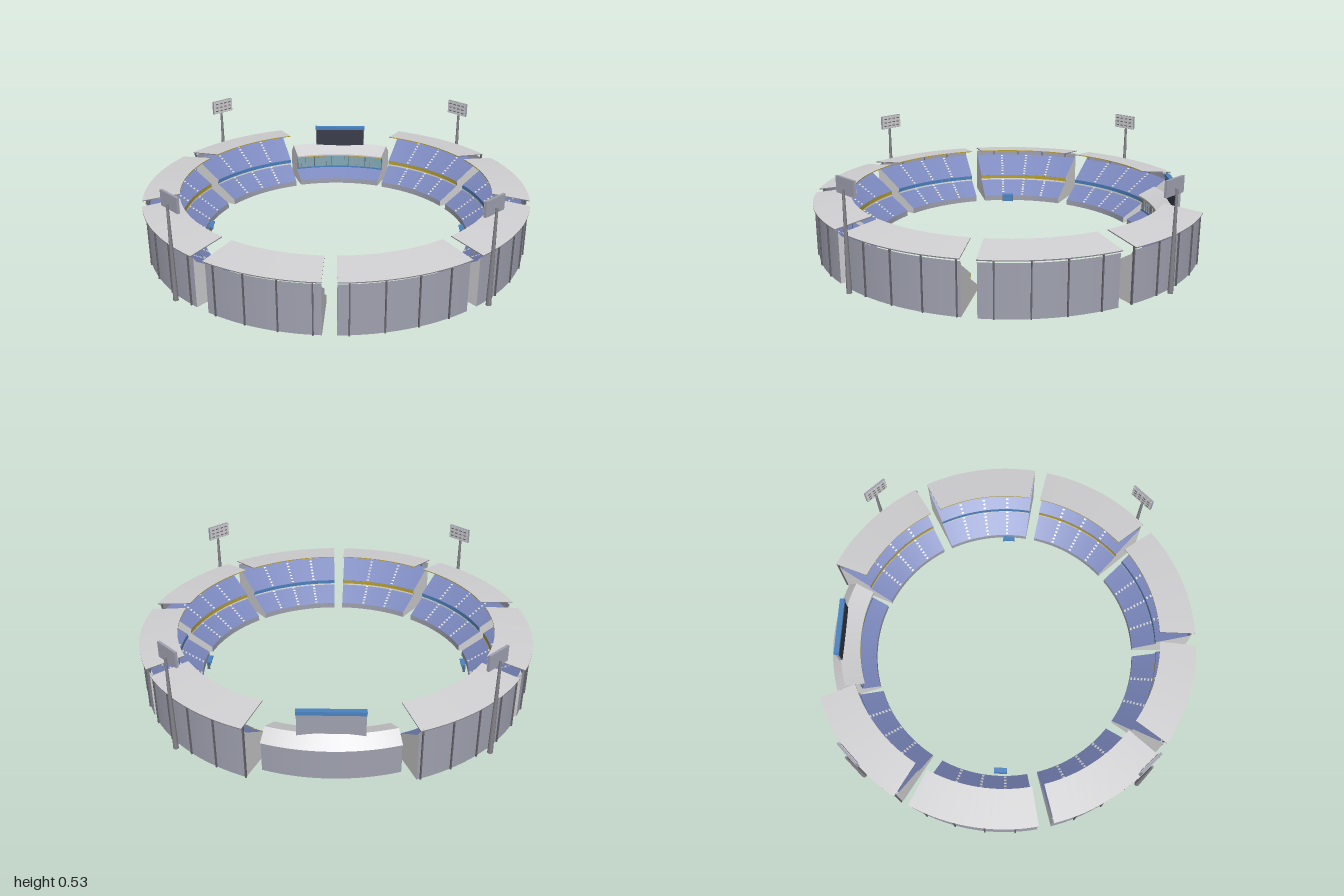
import * as THREE from 'three';

const mat = (name, color) => new THREE.MeshStandardMaterial({ name, color, side: THREE.DoubleSide });
const M = {
  wall: mat('lilac grey wall', 0x9fa1af),
  seat: mat('seat blue', 0x7a87bc),
  pale: mat('pale grey', 0xd0d0d2),
  under: mat('roof underside grey', 0x86858c),
  steel: mat('steel grey', 0x66656c),
  blue: mat('bright blue', 0x4a82c0),
  yellow: mat('mustard yellow', 0xb9a02c),
  white: mat('off white', 0xe2e2de),
  glass: mat('window teal', 0x7fa9b8),
  screen: mat('screen slate', 0x383c48),
};
const rad = THREE.MathUtils.degToRad;

function add(parent, name, geometry, material, x = 0, y = 0, z = 0) {
  const mesh = new THREE.Mesh(geometry, material);
  mesh.name = name;
  mesh.position.set(x, y, z);
  parent.add(mesh);
  return mesh;
}

// Curved strip between two [radius, height] points; angles in degrees from the front
function strip(parent, name, p, q, a0, a1, material) {
  const pts = [p, q].map(([r, y]) => new THREE.Vector2(r, y));
  return add(parent, name, new THREE.LatheGeometry(pts, 16, rad(a0), rad(a1 - a0)), material);
}

// Flat radial panel with a [radius, height] outline
function endPanel(parent, name, outline, a, material) {
  const shape = new THREE.Shape(outline.map(([r, y]) => new THREE.Vector2(r, y)));
  add(parent, name, new THREE.ShapeGeometry(shape), material).rotation.y = rad(a) - Math.PI / 2;
}

// Group whose local +z points outward at angle a
function spoke(parent, name, a) {
  const g = new THREE.Group();
  g.name = name;
  g.rotation.y = rad(a);
  parent.add(g);
  return g;
}

// Dashed line of steps running up a seating slope
function aisle(parent, a, p, q, count) {
  const g = spoke(parent, 'aisle', a);
  const slope = Math.atan2(q[1] - p[1], q[0] - p[0]);
  for (let i = 0; i < count; i++) {
    const t = (i + 0.5) / count;
    add(g, 'step', new THREE.BoxGeometry(0.013, 0.004, 0.009), M.white,
      0, p[1] + (q[1] - p[1]) * t, p[0] + (q[0] - p[0]) * t).rotation.x = -slope;
  }
}

// Wall posts, set on one regular spacing around the whole ring
function posts(parent, a0, a1, r, h) {
  for (let a = 5; a < 360; a += 9) {
    if (a < a0 || a > a1) continue;
    const g = spoke(parent, 'wallPost', a);
    add(g, 'post', new THREE.BoxGeometry(0.006, h, 0.01), M.steel, 0, h / 2, r);
  }
}

// Roofed two-tier stand
function stand(parent, a0, a1, bandMaterial, aisles) {
  const g = new THREE.Group();
  g.name = 'stand';
  parent.add(g);
  const low = [[0.702, 0.03], [0.822, 0.105]], high = [[0.817, 0.13], [0.968, 0.226]];
  strip(g, 'frontWall', [0.702, 0], low[0], a0, a1, M.wall);
  strip(g, 'lowerSeats', low[0], low[1], a0, a1, M.seat);
  strip(g, 'tierBand', [0.815, 0.11], [0.815, 0.13], a0, a1, bandMaterial);
  strip(g, 'bandRail', [0.815, 0.101], [0.815, 0.11], a0, a1, M.white);
  strip(g, 'bandBacking', low[1], [0.82, 0.132], a0, a1, M.seat);
  strip(g, 'upperSeats', high[0], high[1], a0, a1, M.seat);
  strip(g, 'outerWall', [0.985, 0], [0.985, 0.25], a0, a1, M.wall);
  posts(g, a0, a1, 0.987, 0.268);

  // Thin sloping roof with a gilt inner lip
  const roof = [[0.81, 0.291], [1, 0.267], [1, 0.262], [0.81, 0.286]];
  strip(g, 'roofTop', roof[0], roof[1], a0, a1, M.pale);
  strip(g, 'roofOuterEdge', roof[1], roof[2], a0, a1, M.under);
  strip(g, 'roofUnderside', roof[2], roof[3], a0, a1, M.under);
  strip(g, 'roofInnerEdge', roof[3], roof[0], a0, a1, M.yellow);

  const profile = [[0.702, 0], ...low, ...high, [0.985, 0.25], [0.985, 0]];
  for (const a of [a0, a1]) {
    endPanel(g, 'endWall', profile, a, M.pale);
    endPanel(g, 'roofEnd', roof, a, M.under);
  }
  for (let i = 1; i <= aisles; i++) {
    const a = a0 + (a1 - a0) * i / (aisles + 1);
    aisle(g, a, low[0], low[1], 7);
    aisle(g, a, high[0], high[1], 8);
  }
}

// Lower stand with a glazed gallery and the scoreboard
function galleryStand(parent, a0, a1) {
  const g = new THREE.Group();
  g.name = 'galleryStand';
  parent.add(g);
  strip(g, 'frontWall', [0.708, 0], [0.708, 0.03], a0, a1, M.wall);
  strip(g, 'seats', [0.708, 0.03], [0.8, 0.076], a0, a1, M.seat);
  strip(g, 'galleryBand', [0.792, 0.073], [0.792, 0.082], a0, a1, M.blue);
  strip(g, 'windows', [0.8, 0.076], [0.8, 0.17], a0, a1, M.glass);
  strip(g, 'roofEdge', [0.773, 0.157], [0.773, 0.165], a0, a1, M.pale);
  strip(g, 'roofLip', [0.773, 0.153], [0.773, 0.157], a0, a1, M.yellow);
  strip(g, 'roofSoffit', [0.773, 0.153], [0.8, 0.16], a0, a1, M.under);
  strip(g, 'innerRoof', [0.773, 0.165], [0.87, 0.205], a0, a1, M.pale);
  strip(g, 'outerRoof', [0.87, 0.205], [0.922, 0.15], a0, a1, M.pale);
  strip(g, 'outerWall', [0.915, 0], [0.915, 0.152], a0, a1, M.wall);
  const profile = [[0.708, 0], [0.708, 0.03], [0.8, 0.076], [0.8, 0.153], [0.773, 0.153],
    [0.773, 0.165], [0.87, 0.205], [0.92, 0.15], [0.915, 0]];
  for (const a of [a0, a1]) endPanel(g, 'endWall', profile, a, M.pale);
  for (let i = 0; i <= 20; i++) {
    const m = spoke(g, 'mullion', a0 + 0.4 + (a1 - a0 - 0.8) * i / 20);
    add(m, 'bar', new THREE.BoxGeometry(0.004, 0.078, 0.005), i % 4 ? M.wall : M.steel, 0, 0.119, 0.798);
  }

  const board = spoke(g, 'scoreboard', 180);
  add(board, 'casing', new THREE.BoxGeometry(0.3, 0.11, 0.014), M.wall, 0, 0.245, 0.861);
  add(board, 'screen', new THREE.BoxGeometry(0.296, 0.106, 0.004), M.screen, 0, 0.245, 0.852);
  add(board, 'topBoard', new THREE.BoxGeometry(0.306, 0.018, 0.026), M.blue, 0, 0.309, 0.859);
}

// Lamp mast with its panel facing the middle
function floodlight(parent, a) {
  const g = spoke(parent, 'floodlight', a);
  add(g, 'mast', new THREE.CylinderGeometry(0.006, 0.013, 0.485, 8), M.under, 0, 0.2425, 1.012);
  add(g, 'lampPanel', new THREE.BoxGeometry(0.134, 0.076, 0.012), M.wall, 0, 0.492, 0.998);
  add(g, 'panelFace', new THREE.BoxGeometry(0.13, 0.072, 0.003), M.pale, 0, 0.492, 0.991);
  for (let row = -1; row <= 1; row++) {
    for (let i = 0; i < 4; i++) {
      add(g, 'lamp', new THREE.BoxGeometry(0.016, 0.005, 0.004), M.steel, (i - 1.5) * 0.03, 0.492 + row * 0.021, 0.989);
    }
  }
}

// Small open-fronted bench shelter
function shelter(parent, a) {
  const g = spoke(parent, 'benchShelter', a);
  add(g, 'shelterRoof', new THREE.BoxGeometry(0.066, 0.006, 0.024), M.blue, 0, 0.042, 0.674);
  add(g, 'shelterBack', new THREE.BoxGeometry(0.066, 0.04, 0.004), M.blue, 0, 0.02, 0.684);
  add(g, 'bench', new THREE.BoxGeometry(0.056, 0.005, 0.01), M.blue, 0, 0.014, 0.677);
  for (const s of [-1, 1]) {
    add(g, 'shelterSide', new THREE.BoxGeometry(0.003, 0.04, 0.012), M.steel, s * 0.031, 0.02, 0.678);
  }
}

export function createModel() {
  const model = new THREE.Group();
  model.name = 'stadium';
  const ring = new THREE.Group();
  ring.name = 'ring';
  ring.position.z = -0.04;
  model.add(ring);

  // Start angle, end angle, number of aisles; band colours alternate around the ring
  const stands = [
    [2, 38.3, 3], [42, 78, 3], [82, 118, 3], [122, 158, 3],
    [202, 239.3, 3], [244, 281.5, 3], [285.8, 322, 3], [326.3, 358.2, 2],
  ];
  stands.forEach(([a0, a1, aisles], i) => stand(ring, a0, a1, i % 2 ? M.yellow : M.blue, aisles));
  galleryStand(ring, 160.5, 199.5);
  for (const a of [45, 135, 225, 315]) floodlight(ring, a);
  for (const a of [90, 270]) shelter(ring, a);
  return model;
}
